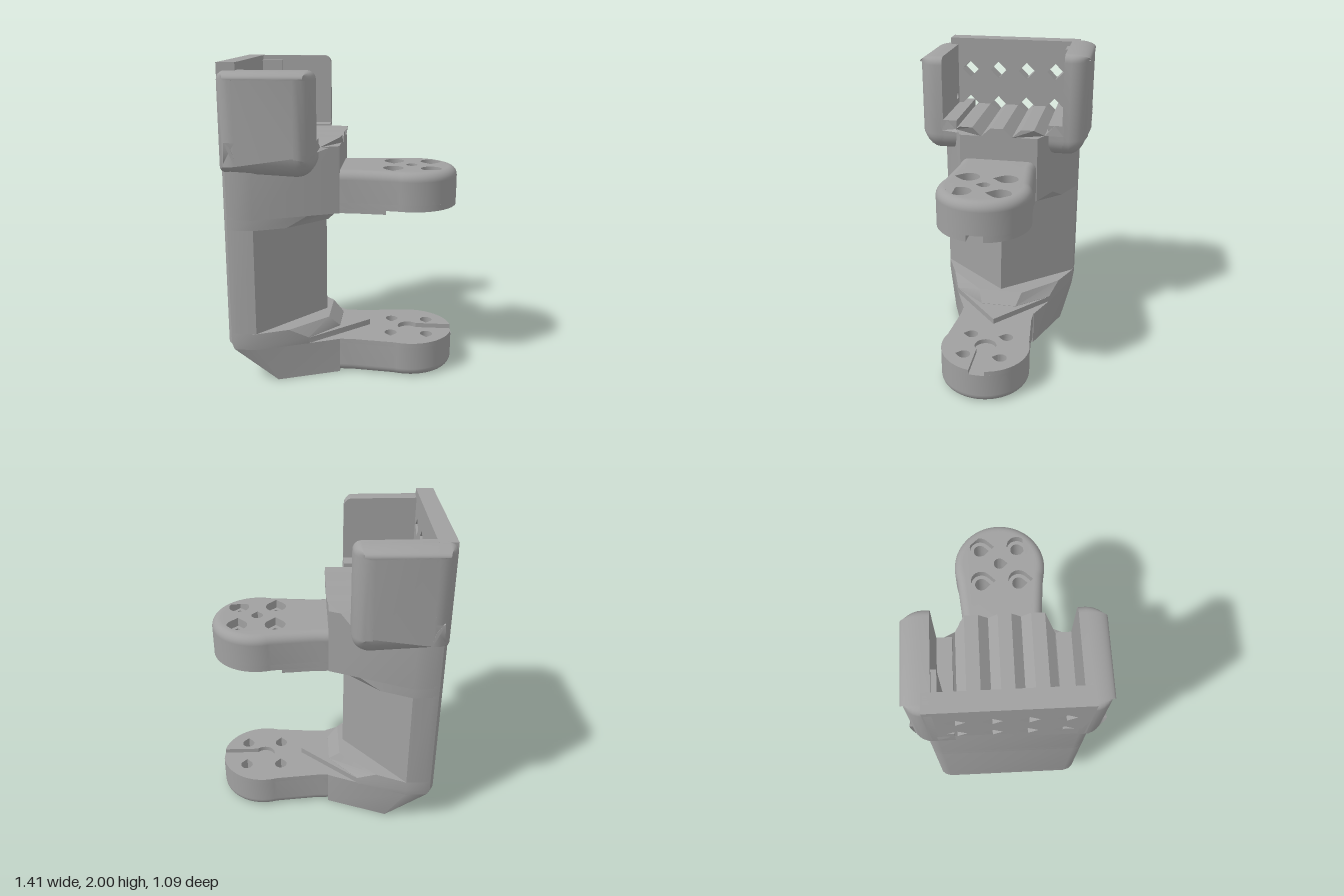
import * as THREE from 'three';
import { mergeGeometries, toCreasedNormals } from 'three/addons/utils/BufferGeometryUtils.js';

const grey = new THREE.MeshStandardMaterial({ color: 0xa0a0a0 });
grey.name = 'grey plastic';

const V = ([x, y]) => new THREE.Vector2(x, y);
const finish = (g) => toCreasedNormals(g.index ? g.toNonIndexed() : g, 0.5);

function fromTriangles(pos, idx) {
  const g = new THREE.BufferGeometry();
  g.setAttribute('position', new THREE.Float32BufferAttribute(pos, 3));
  g.setIndex(idx);
  return g.toNonIndexed();
}

// Half plan (x, z > 0) from back to front, mirrored into a closed outline
const sym = (half) => [
  ...half.map(([x, z]) => [x, -z]),
  ...half.filter(([, z]) => z > 1e-6).reverse(),
];

const arc = (cx, cy, r, a0, a1, n) => Array.from({ length: n + 1 }, (_, i) => {
  const a = THREE.MathUtils.degToRad(a0 + (a1 - a0) * i / n);
  return [cx + r * Math.cos(a), cy + r * Math.sin(a)];
});

// Joins rings of plan points [y, points] from bottom to top and caps both ends
function loft(rings, caps = true) {
  const n = rings[0][1].length, pos = [], idx = [];
  for (const [y, pts] of rings) for (const [x, s] of pts) pos.push(x, y, -s);
  for (let k = 0; k + 1 < rings.length; k++) {
    for (let i = 0; i < n; i++) {
      const a = k * n + i, b = k * n + (i + 1) % n;
      idx.push(a, b, b + n, a, b + n, a + n);
    }
  }
  if (caps) {
    const top = (rings.length - 1) * n;
    for (const [a, b, c] of THREE.ShapeUtils.triangulateShape(rings[0][1].map(V), [])) idx.push(a, c, b);
    for (const [a, b, c] of THREE.ShapeUtils.triangulateShape(rings.at(-1)[1].map(V), [])) idx.push(top + a, top + b, top + c);
  }
  return fromTriangles(pos, idx);
}

function extrude(pts, holes, depth) {
  const shape = new THREE.Shape(pts.map(V));
  shape.holes = holes.map((h) => new THREE.Path(h.map(V)));
  const g = new THREE.ExtrudeGeometry(shape, { depth, bevelEnabled: false });
  g.deleteAttribute('uv');
  g.deleteAttribute('normal');
  return g.index ? g.toNonIndexed() : g;
}

// Moves an outline inward; the weight can change the distance by direction
function inset(pts, d, weight) {
  const n = pts.length;
  return pts.map(([x, y], i) => {
    const [px, py] = pts[(i + n - 1) % n], [qx, qy] = pts[(i + 1) % n];
    const a = new THREE.Vector2(y - py, px - x).normalize();
    const b = new THREE.Vector2(qy - y, x - qx).normalize();
    const m = a.clone().add(b).divideScalar(1 + a.dot(b));
    return [x - m.x * d, y - m.y * d * weight(m.y)];
  });
}

// Plate along +z with a rounded far rim and sharp holes
function roundedSlab(pts, holes, depth, b, weight = () => 1) {
  const core = extrude(inset(pts, b, weight), holes, depth);
  const rings = [[0, pts]];
  for (let i = 0; i <= 7; i++) {
    const a = i / 7 * Math.PI / 2;
    rings.push([depth - b + b * Math.sin(a) + 1e-4 * (i === 0), inset(pts, b * (1 - Math.cos(a)), weight)]);
  }
  const skin = loft(rings, false).rotateX(Math.PI / 2);
  return mergeGeometries([core, skin]);
}

function mirrorZ(g) {
  const m = g.clone();
  const p = m.attributes.position;
  for (let i = 0; i < p.count; i += 3) {
    const t = [0, 2, 1].map((k) => [p.getX(i + k), p.getY(i + k), -p.getZ(i + k)]);
    t.forEach((v, k) => p.setXYZ(i + k, ...v));
  }
  return m;
}

const up = (g, y) => g.rotateX(-Math.PI / 2).translate(0, y, 0);
const plate = (pts, holes, y0, y1) => up(extrude(pts, holes, y1 - y0), y0);

// Slanted heel: pushes plan points forward and inward near the ground
const heel = (y, pts) => [y, pts.map(([x, s]) => {
  const w = 0.4 + 0.07 * Math.min(1, y / 0.25);
  return [Math.max(x, -0.4 - 0.31 * Math.min(1, y / 0.27)), THREE.MathUtils.clamp(s, -w, w)];
})];

// Teardrop hole whose point faces -dir in the shape plane
const teardrop = (x, y, r, dir = 1) => [
  ...arc(x, y, r, -45, 225, 18), [x, y - r * 1.42],
].map(([px, py]) => [px, y + (py - y) * dir]);

export function createModel() {
  const group = new THREE.Group();
  const add = (name, g) => {
    const mesh = new THREE.Mesh(finish(g), grey);
    mesh.name = name;
    group.add(mesh);
  };

  // Plans of the body
  const back = [[-0.71, 0.4], [-0.7, 0.435], [-0.68, 0.46], [-0.64, 0.47]];
  const bodyPlan = sym([...back, [-0.52, 0.47], [-0.02, 0.25]]);
  const columnPlan = sym([...back, [-0.52, 0.468], [-0.13, 0]]);
  const wide = sym([...back, [-0.52, 0.469], [-0.21, 0.333], [-0.03, 0.12]]);
  const narrow = sym([...back, [-0.52, 0.469], [-0.33, 0.384], [-0.1, 0.15]]);

  // Body
  add('lowerBody', loft([heel(0, bodyPlan), heel(0.23, bodyPlan)]));
  add('lowerGusset', loft([heel(0.23, wide), heel(0.27, wide), heel(0.34, narrow)]));
  add('lowerWedge', plate(sym([[-0.5, 0.45], [-0.21, 0.332], [0.16, 0]]), [], 0.225, 0.268));
  add('column', loft([[0.33, columnPlan], [1.02, columnPlan]]));
  add('upperGusset', loft([[1.01, narrow], [1.075, wide], [1.09, wide]]));
  add('upperBody', loft([[1.075, bodyPlan], [1.495, bodyPlan]]));

  // Arms
  const neck = [[-0.1, 0.24], [0, 0.247], [0.06, 0.245]];
  const paddle = sym([...neck, ...arc(0.42, 0, 0.285, 108, 0, 26)]);
  const slotted = sym([
    ...neck, ...arc(0.42, 0, 0.285, 108, 10.1, 24),
    ...arc(0.42, 0, 0.07, 45, 180, 12),
  ]);
  const bolts = (r, dir = 1) => [0.305, 0.54].flatMap((x) => [-0.115, 0.12].map((s) => teardrop(x, s * dir, r, dir)));
  const centre = teardrop(0.42, 0, 0.036);

  add('upperArmSlot', plate(slotted, bolts(0.04), 1.1, 1.14));
  add('upperArm', plate(paddle, [...bolts(0.04), centre], 1.14, 1.285));
  add('upperArmTop', up(roundedSlab(paddle, [...bolts(0.064), centre], 0.055, 0.054), 1.285));
  add('upperArmStep', plate(
    sym([...neck, [0.2, 0.257], ...arc(0.42, 0, 0.302, 120, 180, 12)]), [], 1.075, 1.1));

  add('lowerArmSlot', plate(slotted, bolts(0.04), 0.2, 0.23));
  add('lowerArm', plate(paddle, bolts(0.04), 0.05, 0.2));
  add('lowerArmBottom', roundedSlab(paddle, bolts(0.064, -1), 0.05, 0.049)
    .rotateX(Math.PI / 2).translate(0, 0.05, 0));

  // Grooved saddle: profile in (z, y), front end trimmed to the body's taper
  const profile = [[-0.4, 1.48], [0.4, 1.48], [0.4, 1.55]];
  for (const z of [0.305, 0.108, -0.088, -0.285]) {
    profile.push([z + 0.058, 1.55], [z, 1.496], [z - 0.058, 1.55]);
  }
  profile.push([-0.4, 1.55]);
  const saddle = extrude(profile, [], 1);
  const p = saddle.attributes.position;
  for (let i = 0; i < p.count; i++) {
    const z = p.getX(i), y = p.getY(i);
    const front = -0.01 - 0.13 * THREE.MathUtils.clamp((Math.abs(z) - 0.245) / 0.065, 0, 1);
    p.setXYZ(i, p.getZ(i) > 0.5 ? front : -0.62, y, -z);
  }
  // Profile is mirrored in z above so the faces keep pointing outward
  p.array.forEach((v, i, a) => { if (i % 3 === 2) a[i] = -v; });
  const saddleFixed = mirrorZ(mirrorZ(saddle));
  for (let i = 0, q = saddleFixed.attributes.position; i < q.count; i += 3) {
    const b = [q.getX(i + 1), q.getY(i + 1), q.getZ(i + 1)];
    q.setXYZ(i + 1, q.getX(i + 2), q.getY(i + 2), q.getZ(i + 2));
    q.setXYZ(i + 2, ...b);
  }
  add('groovedSaddle', saddleFixed);

  // Back wall with diamond vents; shape x runs along -z
  const diamonds = [1.55, 1.79].flatMap((y) => [-0.305, -0.108, 0.088, 0.285].map((s) => arc(s, y, 0.056, 0, 270, 3)));
  add('backWall', extrude([[-0.44, 1.42], [0.44, 1.42], [0.44, 2], [-0.44, 2]], diamonds, 0.11)
    .rotateY(Math.PI / 2).translate(-0.71, 0, 0));

  // Side cheeks with rounded rims and a stepped screw hole
  const cheekOutline = (top) => [
    ...arc(-0.67, 1.4, 0.04, 180, 270, 5), ...arc(-0.25, 1.45, 0.11, 270, 360, 8),
    ...arc(-0.19, top - 0.05, 0.05, 0, 90, 6), ...arc(-0.66, top - 0.05, 0.05, 90, 180, 6),
  ];
  const weight = (ny) => (ny > 0 ? 0.35 : 1.7);
  const cheek = (top) => {
    const outline = cheekOutline(top);
    const hole = (r) => [arc(-0.55, 1.61, r, 0, 345, 23)];
    const lower = [...outline.slice(0, 15), [-0.14, 1.55], [-0.71, 1.55]];
    return mergeGeometries([
      extrude(outline, hole(0.025), 0.04).translate(0, 0, 0.39),
      roundedSlab(outline, hole(0.05), 0.116, 0.115, weight).translate(0, 0, 0.43),
      extrude(lower, [], 0.1).translate(0, 0, 0.3),
    ]);
  };
  add('frontCheek', cheek(1.955));
  add('backCheek', mirrorZ(cheek(2)));
  add('backCheekPad', new THREE.BoxGeometry(0.13, 0.42, 0.04).translate(-0.535, 1.76, -0.38));

  return group;
}
